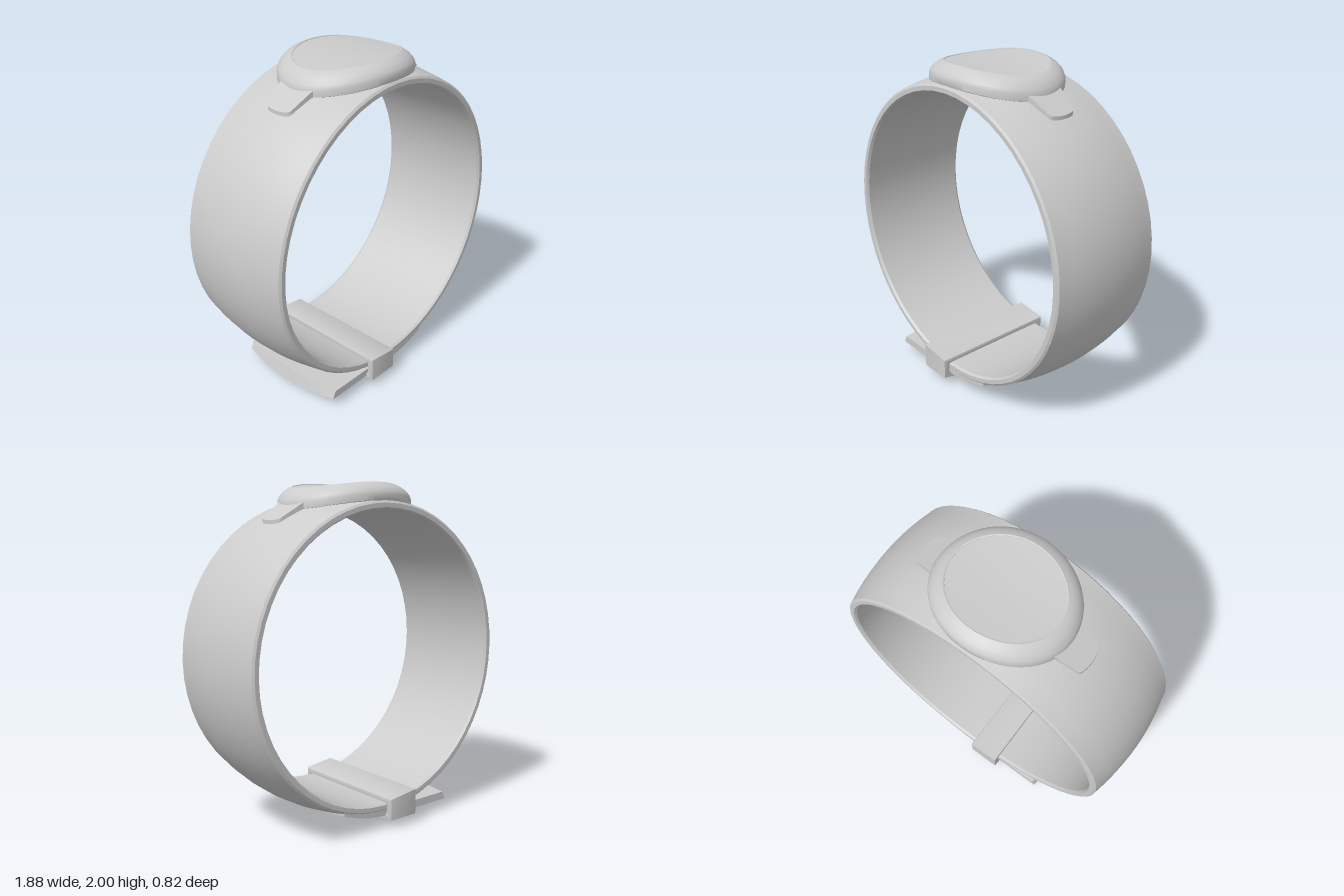
import * as THREE from 'three';
import { toCreasedNormals } from 'three/addons/utils/BufferGeometryUtils.js';

const material = new THREE.MeshStandardMaterial({ color: 0xcccccc });

// Skin over a list of closed rings, each a list of [x, y, z]
function loft(rings) {
  const n = rings[0].length, index = [];
  for (let i = 0; i < rings.length - 1; i++) {
    for (let j = 0; j < n; j++) {
      const a = i * n + j, b = i * n + (j + 1) % n;
      index.push(a, a + n, b, b, a + n, b + n);
    }
  }
  const g = new THREE.BufferGeometry();
  g.setAttribute('position', new THREE.Float32BufferAttribute(rings.flat(2), 3));
  g.setIndex(index);
  return g;
}

// Ellipse whose height runs from yx (on the x axis) to yz (on the z axis)
function saddleRing([rx, rz, yx, yz]) {
  return Array.from({ length: 64 }, (_, i) => {
    const t = i / 64 * Math.PI * 2, s = Math.sin(t);
    return [rx * Math.cos(t), yx + (yz - yx) * s * s, rz * s];
  });
}

function shapeOf(points) {
  return new THREE.Shape(points.map(([x, y]) => new THREE.Vector2(x, y)));
}

function moveVertices(g, rule) {
  const p = g.attributes.position, v = new THREE.Vector3();
  for (let i = 0; i < p.count; i++) {
    rule(v.fromBufferAttribute(p, i));
    p.setXYZ(i, v.x, v.y, v.z);
  }
  return g;
}

function bandGeometry() {
  // Crowned outside, flat inside, rounded edges
  const half = 0.365, profile = [[0.85, -0.35], [0.86, -half], [0.885, -half], [0.898, -0.355]];
  for (let i = -5; i <= 5; i++) {
    const z = i / 5 * 0.34;
    profile.push([0.94 - 0.04 * (z / 0.34) ** 2, z]);
  }
  profile.push([0.898, 0.355], [0.885, half], [0.86, half], [0.85, 0.35], [0.85, -0.35]);
  const g = new THREE.LatheGeometry(profile.map(([r, z]) => new THREE.Vector2(r, z)), 56);
  return g.rotateX(Math.PI / 2).translate(0, 1, 0);
}

function tailGeometry() {
  // Free strap end leaving the circle tangentially, crowned below
  const path = [[0.3, 0.11], [0.2, 0.076], [0.12, 0.055], [0, 0.042], [-0.2, 0.036], [-0.35, 0.036], [-0.49, 0.037]];
  const half = 0.36, steps = 10;
  const rings = path.map(([x, y], k) => {
    const end = k === path.length - 1, ring = [];
    for (const side of [1, -1]) {
      for (let i = 0; i <= steps; i++) {
        const u = side * (1 - 2 * i / steps);
        const bulge = end ? 0.03 * (1 - u * u) : 0;
        const slant = end && side > 0 ? 0.02 : 0;
        ring.push([x - bulge - slant, side > 0 ? y + 0.03 * u * u : y + 0.077, u * half]);
      }
    }
    return ring;
  });
  // Close both ends along their middle line
  const middle = (ring) => ring.map((p, i) => {
    const q = ring[ring.length - 1 - i];
    return p.map((c, k) => (c + q[k]) / 2);
  });
  return loft([middle(rings[0]), ...rings, middle(rings[rings.length - 1])]);
}

function keeperGeometry() {
  // Rectangular loop with a shallow V-shaped underside
  const shape = shapeOf([[-0.4, 0.185], [-0.4, 0.06], [-0.14, 0.008], [0.14, 0.008], [0.4, 0.06], [0.4, 0.185]]);
  shape.holes.push(shapeOf([[-0.375, 0.165], [0.375, 0.165], [0.375, 0.082], [0.13, 0.028], [-0.13, 0.028], [-0.375, 0.082]]));
  const g = new THREE.ExtrudeGeometry(shape, {
    depth: 0.184, bevelThickness: 0.008, bevelSize: 0.008, bevelSegments: 2,
  });
  g.rotateY(Math.PI / 2).translate(-0.207, 0, 0);
  return moveVertices(g, (v) => { if (v.y > 0.13) v.y += (-0.115 - v.x) * 0.13; });
}

function lugGeometry() {
  // Tapered tab with a rounded tip, sloped to lie on the band
  const shape = new THREE.Shape();
  shape.moveTo(0.36, -0.122);
  shape.lineTo(0.4, -0.115);
  shape.lineTo(0.505, -0.09);
  shape.quadraticCurveTo(0.525, -0.085, 0.53, -0.065);
  shape.quadraticCurveTo(0.545, 0, 0.53, 0.065);
  shape.quadraticCurveTo(0.525, 0.085, 0.505, 0.09);
  shape.lineTo(0.4, 0.115);
  shape.lineTo(0.36, 0.122);
  const g = new THREE.ExtrudeGeometry(shape, { depth: 0.05, bevelEnabled: false, curveSegments: 8 });
  g.rotateX(-Math.PI / 2);
  return moveVertices(g, (v) => { v.y += 1.738 - (v.x - 0.54) * 0.64; });
}

export function createModel() {
  const model = new THREE.Group();
  const add = (name, geometry, crease = 0.5) => {
    const mesh = new THREE.Mesh(toCreasedNormals(geometry, crease), material);
    mesh.name = name;
    model.add(mesh);
    return mesh;
  };

  add('band', bandGeometry());
  add('strapTail', tailGeometry());
  add('keeperLoop', keeperGeometry());

  // Oval case, saddle shaped to follow the band
  add('case', loft([
    [0, 0, 1.88, 1.88],
    [0.4, 0.345, 1.835, 1.885],
    [0.41, 0.355, 1.845, 1.9],
    [0.41, 0.355, 1.88, 1.935],
    [0.4, 0.348, 1.905, 1.953],
    [0.375, 0.327, 1.937, 1.975],
    [0.35, 0.302, 1.955, 1.99],
    [0.325, 0.279, 1.966, 2.0],
    [0.318, 0.272, 1.964, 1.998],
    [0.316, 0.27, 1.95, 1.984],
  ].map(saddleRing)), 0.6);

  // Face cover inside the rim
  const centre = 1.983;
  add('faceCover', loft([1, 0.8, 0.6, 0.4, 0.2, 0].map((t) => saddleRing([
    0.318 * t, 0.272 * t, centre + (1.962 - centre) * t * t, centre + (1.995 - centre) * t * t,
  ]))));

  // Lugs on both sides of the case
  add('leftLug', lugGeometry());
  add('rightLug', lugGeometry()).rotation.y = Math.PI;

  return model;
}
